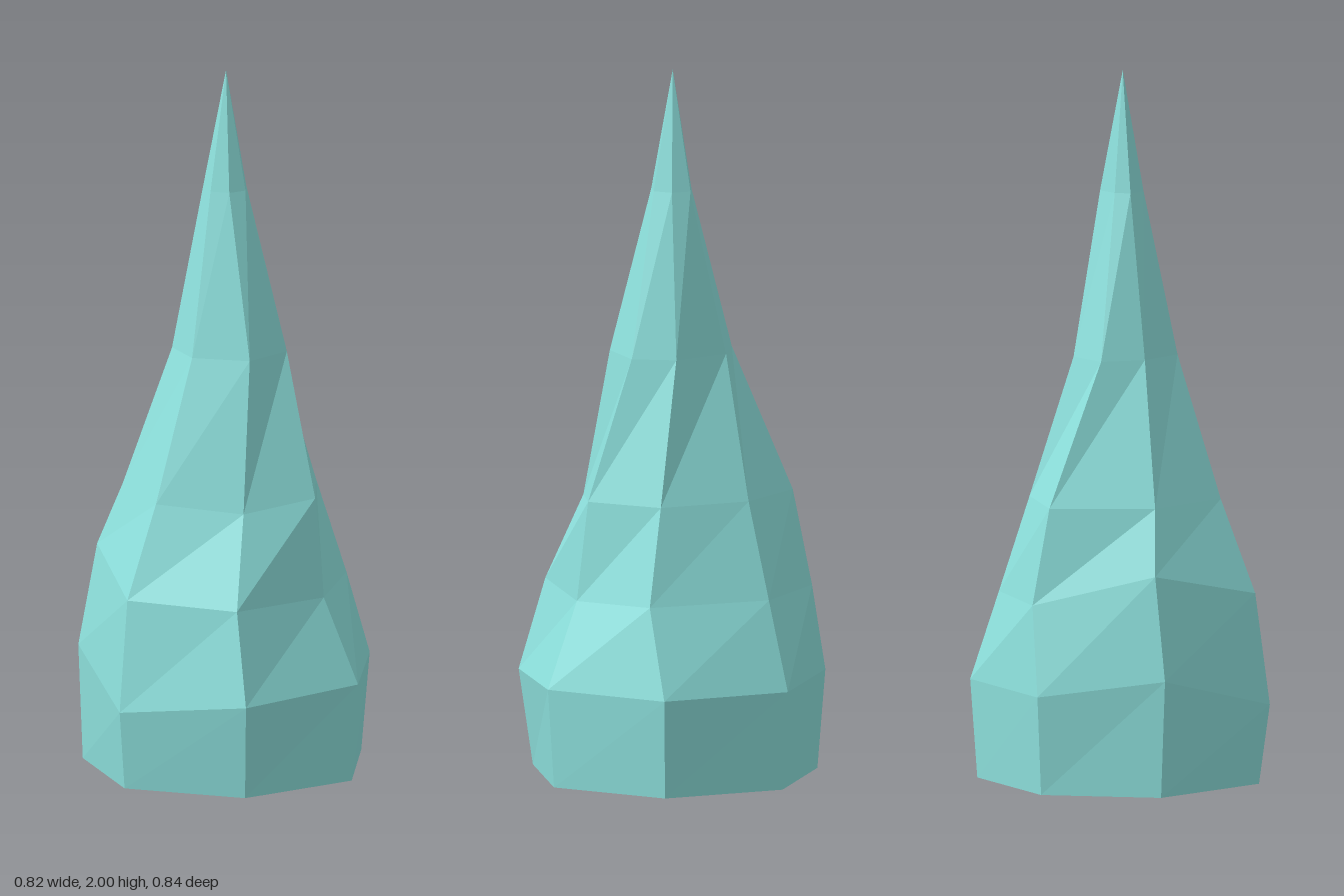
import * as THREE from 'three';

// Seven ridges, each running [x, y, z] from the base up to just under the tip
const RIDGES = [
  [[-0.01, 0, -0.4], [-0.01, 0.28, -0.42], [-0.02, 0.53, -0.34], [-0.03, 0.8, -0.255], [-0.07, 1.2, -0.135], [-0.01, 1.66, -0.055]],
  [[0.31, 0, -0.245], [0.33, 0.28, -0.26], [0.29, 0.53, -0.17], [0.21, 0.8, -0.14], [0.1, 1.2, -0.1], [0.04, 1.66, -0.03]],
  [[0.39, 0, 0.1], [0.41, 0.28, 0.105], [0.305, 0.52, 0.09], [0.275, 0.8, 0.075], [0.17, 1.2, 0.005], [0.055, 1.66, 0.025]],
  [[0.165, 0, 0.38], [0.18, 0.27, 0.42], [0.135, 0.53, 0.36], [0.115, 0.78, 0.235], [0.105, 1.2, 0.145], [0.02, 1.66, 0.065]],
  [[-0.19, 0, 0.375], [-0.195, 0.225, 0.405], [-0.185, 0.54, 0.365], [-0.13, 0.8, 0.273], [-0.06, 1.2, 0.158], [-0.035, 1.66, 0.065]],
  [[-0.405, 0, 0.08], [-0.415, 0.33, 0.09], [-0.367, 0.62, 0.067], [-0.29, 0.8, 0.074], [-0.15, 1.2, 0.058], [-0.07, 1.66, 0.025]],
  [[-0.325, 0, -0.25], [-0.345, 0.28, -0.262], [-0.28, 0.53, -0.27], [-0.255, 0.8, -0.22], [-0.17, 1.2, -0.067], [-0.055, 1.66, -0.018]],
];
const TIP = [-0.007, 2, 0.009];
const BASE_CENTRE = [0, 0, 0];

export function createModel() {
  const positions = [];
  const triangle = (a, b, c) => positions.push(...a, ...b, ...c);

  RIDGES.forEach((a, i) => {
    const b = RIDGES[(i + 1) % RIDGES.length];
    const last = a.length - 1;
    // Underside wedge
    triangle(BASE_CENTRE, a[0], b[0]);
    // Facets between neighbouring ridges
    for (let j = 0; j < last; j++) {
      triangle(b[j], a[j], a[j + 1]);
      triangle(b[j], a[j + 1], b[j + 1]);
    }
    // Closing facet at the tip
    triangle(b[last], a[last], TIP);
  });

  const geometry = new THREE.BufferGeometry();
  geometry.setAttribute('position', new THREE.Float32BufferAttribute(positions, 3));
  geometry.computeVertexNormals();

  const crystal = new THREE.Mesh(
    geometry,
    new THREE.MeshStandardMaterial({ color: 0x8ee2de, flatShading: true })
  );
  crystal.name = 'crystalSpire';

  const group = new THREE.Group();
  group.name = 'crystal';
  group.add(crystal);
  return group;
}
